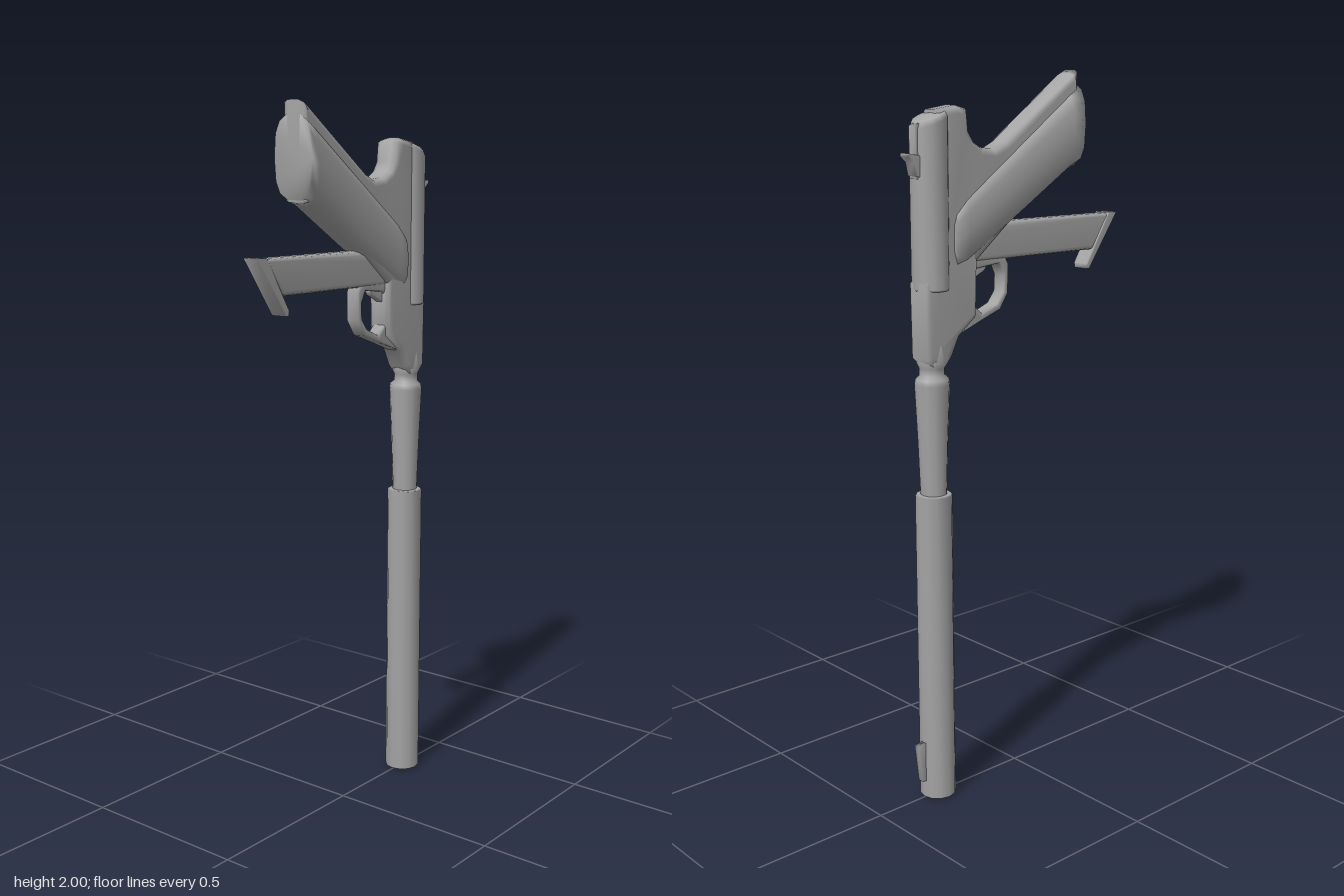
import * as THREE from 'three';
import { mergeVertices } from 'three/addons/utils/BufferGeometryUtils.js';

const AXIS = 0.295; // x of the barrel axis
const steel = new THREE.MeshStandardMaterial({ color: 0xa4a4a4, side: THREE.DoubleSide });

// Shared vertices everywhere, so shading flows softly around every edge
function smooth(geo) {
  geo.deleteAttribute('normal');
  geo.deleteAttribute('uv');
  const merged = mergeVertices(geo, 1e-5);
  merged.computeVertexNormals();
  return merged;
}

// Side profile in xy, given depth in z, with bevelled rims inside the outline
function plate(points, half, bevel, hole) {
  const shape = new THREE.Shape(points.map(p => new THREE.Vector2(...p)));
  if (hole) shape.holes.push(new THREE.Path(hole.map(p => new THREE.Vector2(...p))));
  const geo = new THREE.ExtrudeGeometry(shape, {
    depth: 2 * (half - bevel), bevelEnabled: bevel > 0, bevelThickness: bevel,
    bevelSize: bevel, bevelOffset: -bevel, bevelSegments: 2,
  });
  geo.translate(0, 0, -(half - bevel));
  return smooth(geo);
}

// Turned part around the barrel axis, profile of [radius, y] from bottom to top
function turned(profile, sides) {
  const geo = new THREE.LatheGeometry(profile.map(p => new THREE.Vector2(...p)), sides);
  return smooth(geo.translate(AXIS, 0, 0));
}

// Rounded loft along x from stations of [x, top y, bottom y, half width]
function loftX(stations, sides) {
  const pos = [], index = [];
  const soft = v => Math.sign(v) * Math.abs(v) ** 0.7;
  for (const [x, top, bottom, half] of stations)
    for (let i = 0; i < sides; i++) {
      const a = (i / sides) * Math.PI * 2;
      pos.push(x, (top + bottom) / 2 + soft(Math.sin(a)) * (top - bottom) / 2, soft(Math.cos(a)) * half);
    }
  for (let s = 0; s < stations.length - 1; s++)
    for (let i = 0; i < sides; i++) {
      const a = s * sides + i, b = s * sides + (i + 1) % sides;
      index.push(a, a + sides, b, b, a + sides, b + sides);
    }
  const last = (stations.length - 1) * sides;
  for (let i = 1; i < sides - 1; i++) index.push(0, i, i + 1, last, last + i + 1, last + i);
  const geo = new THREE.BufferGeometry();
  geo.setAttribute('position', new THREE.Float32BufferAttribute(pos, 3));
  geo.setIndex(index);
  return smooth(geo);
}

export function createModel() {
  const model = new THREE.Group();
  const add = (name, geo) => {
    const mesh = new THREE.Mesh(geo, steel);
    mesh.name = name;
    model.add(mesh);
  };

  // Muzzle tube
  add('muzzleTube', turned([[0, 0.004], [0.042, 0], [0.051, 0.003],
    [0.051, 0.885], [0.047, 0.888], [0, 0.888]], 12));
  // Barrel widening toward the receiver, then a narrow neck
  add('barrel', turned([[0.036, 0.88], [0.041, 1.03], [0.048, 1.19], [0.046, 1.205], [0.035, 1.215],
    [0.035, 1.235], [0.042, 1.25], [0.038, 1.3], [0, 1.3]], 12));

  // Receiver below the slide
  add('receiver', plate([[0.25, 1.262], [0.272, 1.235], [0.315, 1.235], [0.34, 1.26], [0.343, 1.46],
    [0.3, 1.52], [0.16, 1.56], [0.165, 1.36], [0.225, 1.312]], 0.038, 0.018));

  // Slide, a tube whose rear end slopes down toward the sight
  const slide = turned([[0, 1.44], [0.047, 1.44], [0.051, 1.446], [0.051, 1.87], [0.044, 1.885], [0, 1.89]], 12);
  const p = slide.attributes.position;
  for (let i = 0; i < p.count; i++)
    if (p.getY(i) > 1.8) p.setY(i, p.getY(i) - (p.getX(i) - AXIS) * 0.4);
  slide.computeVertexNormals();
  add('slide', slide);

  // Grip core with the curved tang behind the slide
  add('gripFrame', plate([[-0.207, 2], [-0.203, 1.74], [-0.18, 1.735], [-0.165, 1.75], [0.045, 1.6],
    [0.17, 1.5], [0.29, 1.48], [0.29, 1.9], [0.225, 1.91], [0.192, 1.902], [0.186, 1.845], [0.17, 1.82],
    [0.14, 1.802], [0.1, 1.797], [0.06, 1.815], [-0.185, 1.99]], 0.038, 0.02));
  // Swelling panels on both sides of the grip
  add('gripPanels', loftX([[-0.205, 1.965, 1.745, 0.066], [-0.17, 1.945, 1.727, 0.06],
    [0, 1.825, 1.622, 0.057], [0.2, 1.685, 1.5, 0.052], [0.235, 1.65, 1.49, 0.051], [0.245, 1.635, 1.51, 0.04]], 14));

  // Trigger guard and trigger
  add('triggerGuard', plate([[0.18, 1.515], [0.055, 1.515], [0.04, 1.49], [0.042, 1.41], [0.07, 1.368],
    [0.14, 1.343], [0.225, 1.312], [0.23, 1.5]], 0.022, 0.006,
    [[0.075, 1.493], [0.058, 1.46], [0.06, 1.415], [0.083, 1.385], [0.135, 1.364],
      [0.165, 1.39], [0.175, 1.44], [0.16, 1.485]]));
  add('trigger', plate([[0.18, 1.49], [0.15, 1.485], [0.105, 1.495], [0.12, 1.476], [0.155, 1.46], [0.18, 1.445]], 0.012, 0.003));

  // Magazine in front of the grip, with its slanted base plate
  add('magazine', plate([[-0.348, 1.603], [-0.282, 1.503], [0.19, 1.503], [0.19, 1.58], [0.12, 1.605]], 0.026, 0.014));
  add('magazineBase', plate([[-0.375, 1.605], [-0.34, 1.605], [-0.255, 1.465], [-0.256, 1.45], [-0.267, 1.45]], 0.027, 0.004));

  // Sights
  add('frontSight', plate([[0.335, 0.05], [0.358, 0.055], [0.371, 0.165], [0.335, 0.17]], 0.008, 0));
  add('rearSight', plate([[0.33, 1.73], [0.35, 1.735], [0.358, 1.77], [0.375, 1.785], [0.373, 1.793], [0.33, 1.785]], 0.02, 0.003));
  add('rearSightBase', plate([[0.33, 1.72], [0.35, 1.73], [0.35, 1.86], [0.33, 1.87]], 0.014, 0.003));
  return model;
}
